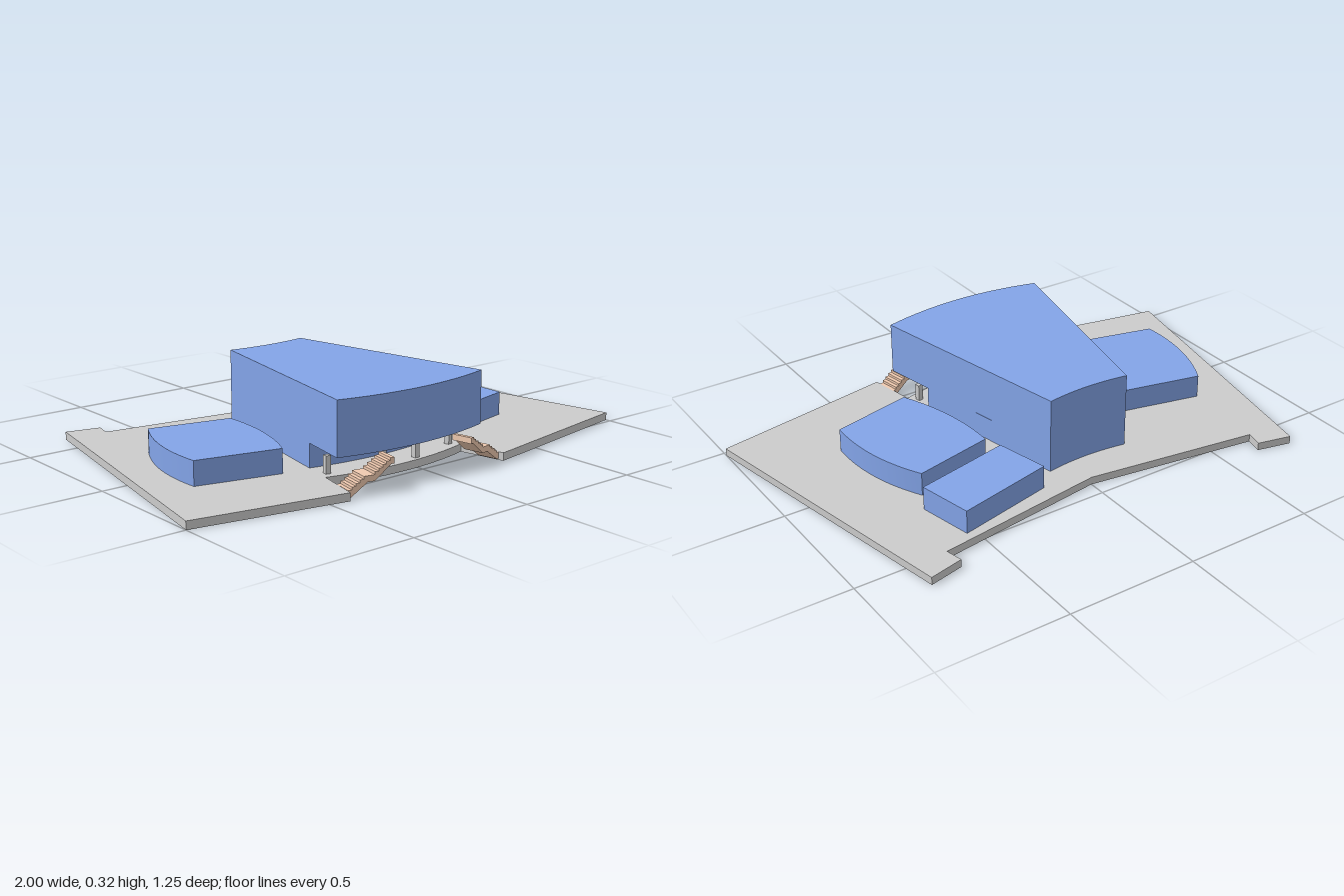
import * as THREE from 'three';
import { toCreasedNormals } from 'three/addons/utils/BufferGeometryUtils.js';

const GROUND = 0.03;
const FLOOR = 0.12;
const ROOF = 0.32;
const AXIS = -0.065; // centre line of the hall

const grey = new THREE.MeshStandardMaterial({ color: 0xcccccc });
const blue = new THREE.MeshStandardMaterial({ color: 0x83a4e8 });
const tan = new THREE.MeshStandardMaterial({ color: 0xf0cab0 });

const mirror = (x) => 2 * AXIS - x;

// Plan points are [x, z], or [x, z, midX, midZ] for an arc through mid to x, z.
function prism(name, plan, y0, y1, material) {
  const shape = new THREE.Shape();
  let [px, pz] = plan[0];
  shape.moveTo(px, -pz);
  for (const [x, z, mx, mz] of [...plan.slice(1), plan[0]]) {
    if (mx === undefined) shape.lineTo(x, -z);
    else shape.quadraticCurveTo(2 * mx - (px + x) / 2, -(2 * mz - (pz + z) / 2), x, -z);
    px = x;
    pz = z;
  }
  const geometry = new THREE.ExtrudeGeometry(shape, { depth: y1 - y0, bevelEnabled: false, curveSegments: 16 });
  geometry.rotateX(-Math.PI / 2).translate(0, y0, 0);
  const mesh = new THREE.Mesh(toCreasedNormals(geometry, 0.4), material);
  mesh.name = name;
  return mesh;
}

// Two flights with a landing between them, rising from start to end
function stair(name, start, end) {
  const dx = end[0] - start[0];
  const dz = end[1] - start[1];
  const length = Math.hypot(dx, dz);
  const steps = 5;
  const rise = (FLOOR - 0.02) / (2 * steps);
  const landing = 0.028;
  const tread = (length - landing) / (2 * steps);
  const shape = new THREE.Shape();
  let u = 0;
  let y = 0.02;
  shape.moveTo(0, 0.005);
  shape.lineTo(0, y);
  for (let i = 0; i < 2 * steps; i++) {
    y += rise;
    shape.lineTo(u, y);
    u += tread + (i === steps - 1 ? landing : 0);
    shape.lineTo(u, y);
  }
  // sloping underside
  const middle = 0.02 + rise * steps - 0.022;
  shape.lineTo(length, FLOOR - 0.022);
  shape.lineTo(length - 0.012, FLOOR - 0.022);
  shape.lineTo(steps * tread + landing, middle);
  shape.lineTo(steps * tread, middle);
  shape.lineTo(0.012, 0.005);
  const width = 0.08;
  const geometry = new THREE.ExtrudeGeometry(shape, { depth: width, bevelEnabled: false });
  geometry.translate(0, 0, -width / 2);
  const mesh = new THREE.Mesh(geometry, tan);
  mesh.name = name;
  mesh.position.set(start[0], 0, start[1]);
  mesh.rotation.y = Math.atan2(-dz, dx);
  return mesh;
}

export function createModel() {
  const model = new THREE.Group();
  model.name = 'auditoriumComplex';

  // Site slab, notched at the rear corners and cut back under the hall front
  model.add(prism('siteSlab', [
    [-1, 0.5], [-0.425, 0.61], [-0.384, 0.43], [0.254, 0.43, AXIS, 0.475], [0.29, 0.61],
    [1, 0.48], [0.782, -0.625], [0.65, -0.595], [0.665, -0.53], [0, -0.435],
    [-0.665, -0.53], [-0.65, -0.595], [-0.782, -0.625],
  ], 0, GROUND, grey));

  // Fan-shaped hall: overhanging upper storey on a set-back ground storey
  const back = [[0.1, -0.32], [-0.235, -0.32, AXIS, -0.305]];
  model.add(prism('upperHall', [[-0.4, 0.51], [0.27, 0.51, AXIS, 0.557], ...back], FLOOR, ROOF, blue));
  model.add(prism('lowerHall', [[-0.36, 0.312], [0.23, 0.312, AXIS, 0.347], ...back], GROUND, FLOOR, blue));

  // Curved wings either side of the hall
  const wing = [
    [0.25, -0.125], [0.56, -0.195], [0.655, 0.23, 0.64, 0.01],
    [0.34, 0.305], [0.25, -0.125, 0.268, 0.096],
  ];
  const mirrored = wing.map(([x, z, mx, mz]) => (mx === undefined ? [mirror(x), z] : [mirror(x), z, mirror(mx), mz]));
  model.add(prism('leftWing', wing, GROUND, FLOOR, blue));
  model.add(prism('rightWing', mirrored, GROUND, FLOOR, blue));

  // Rectangular block behind the left wing
  model.add(prism('rearBlock', [[0.18, -0.395], [0.555, -0.48], [0.6, -0.272], [0.228, -0.19]], GROUND, FLOOR, blue));

  // Columns under the overhang and the two entrance stairs
  const height = 0.065;
  for (const side of [1, -1]) {
    for (const [offset, z] of [[0.078, 0.447], [0.285, 0.397]]) {
      const column = new THREE.Mesh(new THREE.BoxGeometry(0.02, height, 0.02), grey);
      column.name = 'column';
      column.position.set(AXIS + side * offset, GROUND + height / 2, z);
      column.rotation.y = side * offset * 0.7;
      model.add(column);
    }
    model.add(stair(side > 0 ? 'leftStair' : 'rightStair',
      [AXIS + side * 0.345, 0.55], [AXIS + side * 0.172, 0.583]));
  }
  return model;
}
